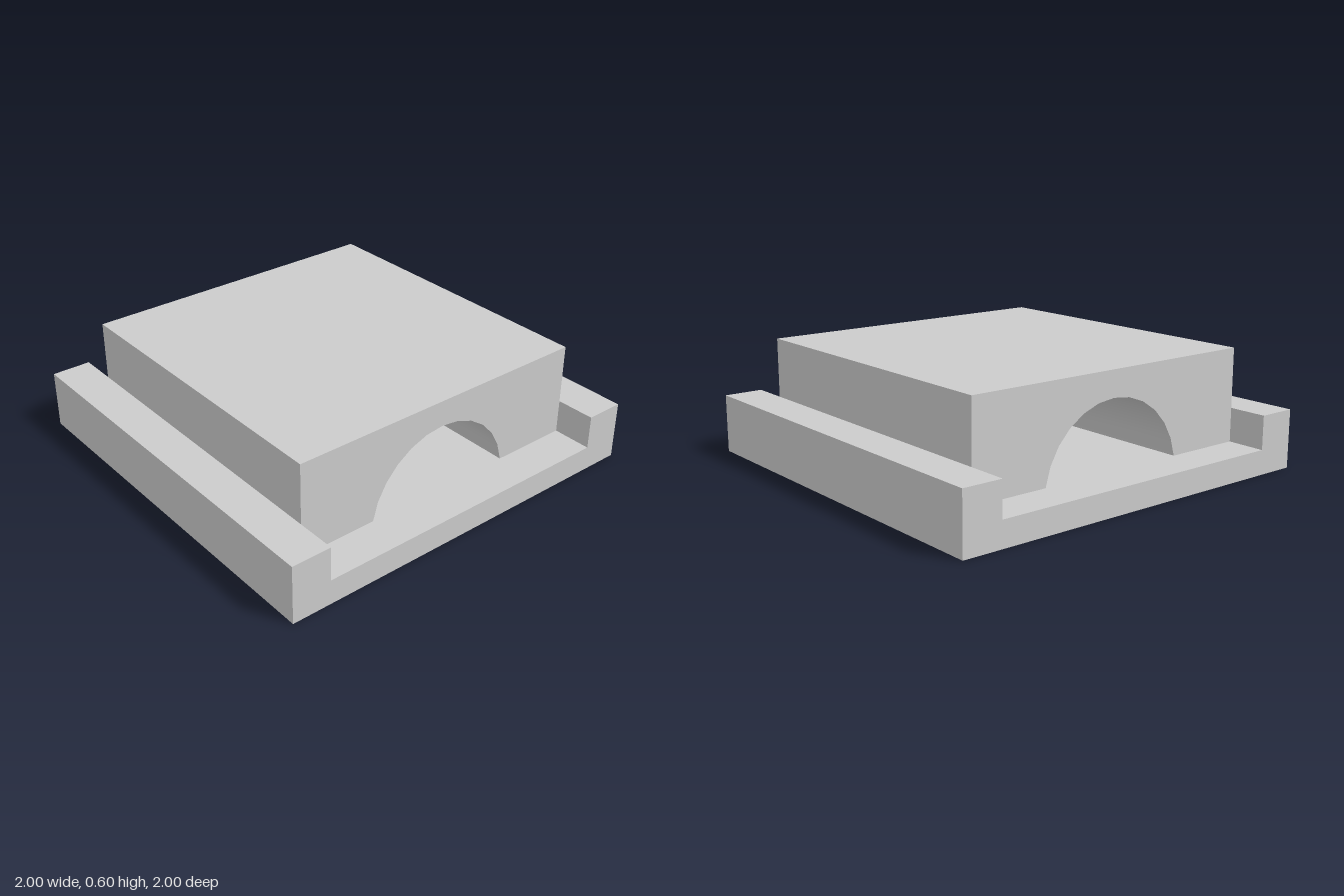
import * as THREE from 'three';
import { toCreasedNormals } from 'three/addons/utils/BufferGeometryUtils.js';

const FLOOR = 0.125, RAIL_TOP = 0.295, TOP = 0.595;
const material = new THREE.MeshStandardMaterial({ color: 0xcccccc });

// Extrude a front profile along z, centred on z = 0
function extrudeProfile(name, shape, depth) {
  const geometry = new THREE.ExtrudeGeometry(shape, { depth, bevelEnabled: false, curveSegments: 6 });
  geometry.translate(0, 0, -depth / 2);
  const mesh = new THREE.Mesh(toCreasedNormals(geometry, Math.PI / 6), material);
  mesh.name = name;
  return mesh;
}

export function createModel() {
  const group = new THREE.Group();
  group.name = 'archBlockOnTray';

  // Tray: a slab with a raised rail along each side
  const tray = new THREE.Shape([
    [-1, 0], [1, 0], [1, RAIL_TOP], [0.8, RAIL_TOP],
    [0.8, FLOOR], [-0.8, FLOOR], [-0.8, RAIL_TOP], [-1, RAIL_TOP],
  ].map(([x, y]) => new THREE.Vector2(x, y)));
  group.add(extrudeProfile('tray', tray, 2));

  // Block between the rails, with an arched tunnel from front to back
  const halfWidth = 0.4, rise = 0.34;
  const radius = (halfWidth ** 2 + rise ** 2) / (2 * rise);
  const centreY = FLOOR + rise - radius;
  const angle = Math.asin((FLOOR - centreY) / radius);
  const block = new THREE.Shape();
  block.moveTo(-0.8, FLOOR);
  block.lineTo(-halfWidth, FLOOR);
  block.absarc(0, centreY, radius, Math.PI - angle, angle, true);
  block.lineTo(0.8, FLOOR);
  block.lineTo(0.8, TOP);
  block.lineTo(-0.8, TOP);
  block.closePath();
  group.add(extrudeProfile('archedBlock', block, 1.6));

  return group;
}
